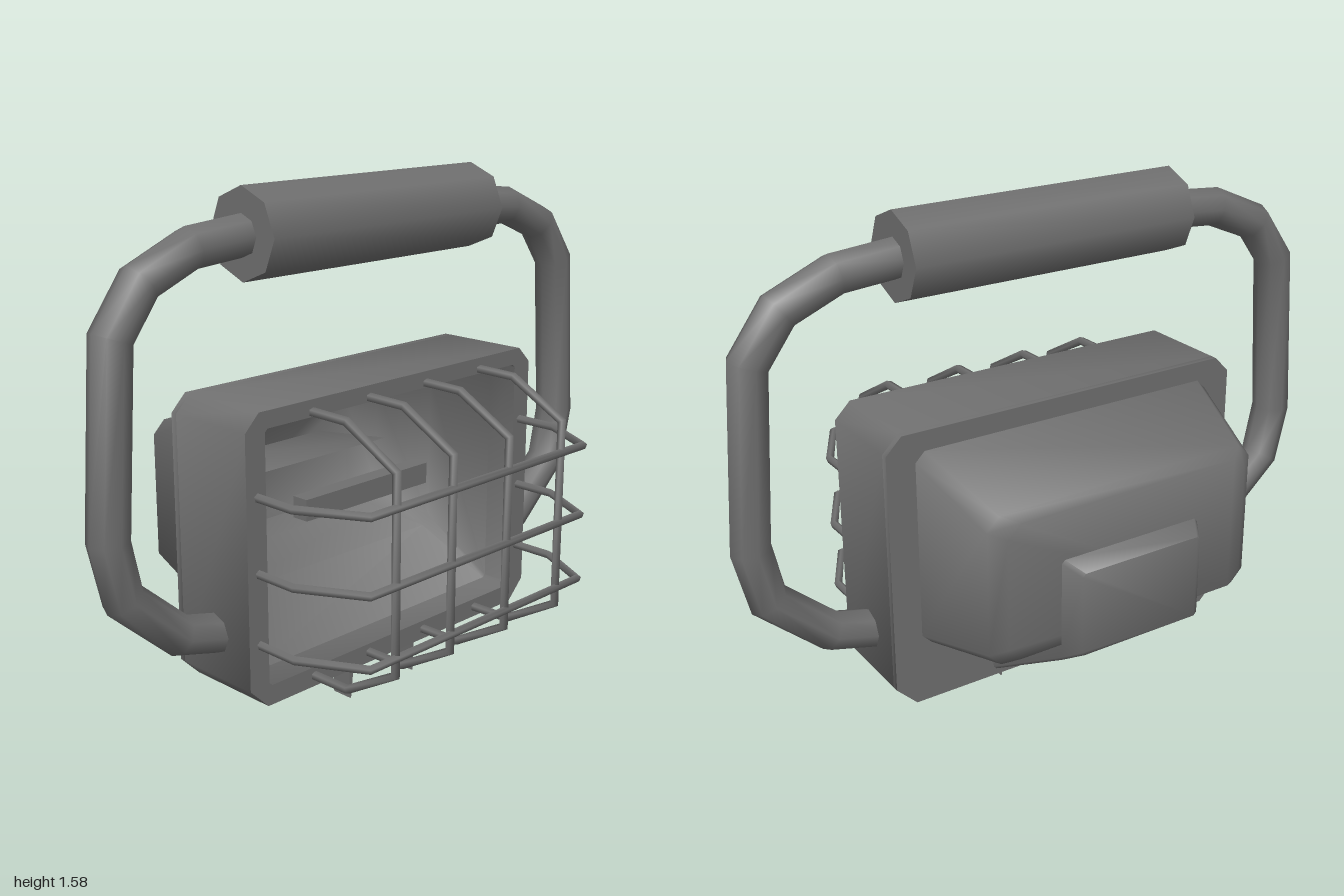
import * as THREE from 'three';
import { toCreasedNormals } from 'three/addons/utils/BufferGeometryUtils.js';

const grey = new THREE.MeshStandardMaterial({ color: 0x707070 });
const greyDouble = new THREE.MeshStandardMaterial({ color: 0x707070, side: THREE.DoubleSide });

function add(parent, name, geometry, material = grey) {
  const mesh = new THREE.Mesh(geometry, material);
  mesh.name = name;
  parent.add(mesh);
  return mesh;
}

// Rectangle with cut corners, counter-clockwise
function cutRect(hw, y0, y1, c, top = c) {
  return [
    [-hw + c, y0], [hw - c, y0], [hw, y0 + c], [hw, y1 - top],
    [hw - top, y1], [-hw + top, y1], [-hw, y1 - top], [-hw, y0 + c],
  ].map(([x, y]) => new THREE.Vector2(x, y));
}

// Skin over sections [halfWidth, y0, y1, corner, z], front to back, closed at the back
function loft(sections, crease) {
  const pos = [];
  const rings = sections.map(([hw, y0, y1, c, z]) =>
    cutRect(hw, y0, y1, c).map((p) => new THREE.Vector3(p.x, p.y, z)));
  const tri = (...v) => v.forEach((p) => pos.push(p.x, p.y, p.z));
  for (let r = 0; r < rings.length - 1; r++) {
    const a = rings[r], b = rings[r + 1];
    for (let i = 0; i < 8; i++) {
      const j = (i + 1) % 8;
      tri(a[i], b[i], b[j]);
      tri(a[i], b[j], a[j]);
    }
  }
  const last = rings[rings.length - 1];
  for (let i = 1; i < 7; i++) tri(last[0], last[i + 1], last[i]);
  const g = new THREE.BufferGeometry();
  g.setAttribute('position', new THREE.Float32BufferAttribute(pos, 3));
  return toCreasedNormals(g, crease);
}

// Path with one tube section at each bend
class BentPath extends THREE.Curve {
  constructor(points) {
    super();
    this.points = points.map((p) => new THREE.Vector3(...p));
  }
  getPointAt(t) {
    return this.points[Math.round(t * (this.points.length - 1))].clone();
  }
  getTangentAt(t) {
    const p = this.points, n = p.length - 1, i = Math.round(t * n);
    const d = new THREE.Vector3();
    if (i > 0) d.add(p[i].clone().sub(p[i - 1]).normalize());
    if (i < n) d.add(p[i + 1].clone().sub(p[i]).normalize());
    return d.normalize();
  }
}

function bentTube(points, radius, sides) {
  return new THREE.TubeGeometry(new BentPath(points), points.length - 1, radius, sides);
}

// Flat ring between two outlines, from z0 to z1, with soft cut corners
function ring(outer, inner, z0, z1) {
  const shape = new THREE.Shape(outer);
  shape.holes.push(new THREE.Path(inner));
  const g = new THREE.ExtrudeGeometry(shape, { depth: z1 - z0, bevelEnabled: false });
  return toCreasedNormals(g.translate(0, 0, z0), 0.9);
}

export function createModel() {
  const model = new THREE.Group();
  model.name = 'workLamp';

  // Front frame and its back plate
  const outline = cutRect(0.6, 0.14, 1.0, 0.065, 0.05);
  add(model, 'frame', ring(outline, cutRect(0.53, 0.2, 0.95, 0.01), -0.12, 0.17));
  add(model, 'backPlate', ring(outline, cutRect(0.48, 0.35, 0.92, 0.03), -0.14, -0.12));

  // Tapered rear shell
  add(model, 'rearShell', loft([
    [0.51, 0.33, 0.94, 0.03, -0.14],
    [0.455, 0.38, 0.84, 0.04, -0.42],
    [0.41, 0.4, 0.82, 0.04, -0.455],
  ], 1.1));

  // Hollow reflector seen through the front
  add(model, 'reflector', loft([
    [0.53, 0.2, 0.95, 0.01, 0.07],
    [0.46, 0.36, 0.9, 0.03, -0.125],
    [0.42, 0.4, 0.84, 0.04, -0.33],
    [0.36, 0.42, 0.8, 0.04, -0.42],
  ], 1.2), greyDouble);

  // Lamp bar reaching in from the left wall
  add(model, 'lampBar', new THREE.BoxGeometry(0.55, 0.07, 0.06)).position.set(0.165, 0.545, -0.15);

  // Wiring box sloping down to the frame
  add(model, 'wiringBox', loft([
    [0.27, 0.16, 0.7, 0.01, -0.14],
    [0.24, 0.345, 0.67, 0.01, -0.45],
    [0.205, 0.38, 0.64, 0.01, -0.51],
  ], 1.1));

  // Wire guard
  const guard = new THREE.Group();
  guard.name = 'guard';
  model.add(guard);
  for (const x of [-0.355, -0.13, 0.11, 0.355]) {
    add(guard, 'uprightBar', bentTube([
      [x, 0.964, 0.16], [x, 0.962, 0.305], [x, 0.86, 0.49],
      [x, 0.28, 0.49], [x, 0.175, 0.305], [x, 0.173, 0.16],
    ], 0.014, 5));
  }
  for (const y of [0.765, 0.545, 0.335]) {
    add(guard, 'crossBar', bentTube([
      [-0.56, y, 0.16], [-0.56, y, 0.31], [-0.46, y, 0.495],
      [0.46, y, 0.495], [0.56, y, 0.31], [0.56, y, 0.16],
    ], 0.013, 5));
  }

  // Carrying handle, mirrored arms and grip
  const arm = [
    [0.55, 0.325], [0.725, 0.37], [0.905, 0.53], [0.943, 0.7],
    [0.905, 1.23], [0.81, 1.36], [0.645, 1.43], [0.4, 1.45],
  ];
  for (const s of [1, -1]) {
    add(model, s > 0 ? 'leftHandleArm' : 'rightHandleArm',
      bentTube(arm.map(([x, y]) => [s * x, y, 0.02]), 0.06, 8));
  }
  const grip = add(model, 'grip', new THREE.CylinderGeometry(0.13, 0.13, 0.935, 8));
  grip.rotation.z = Math.PI / 2;
  grip.position.set(0, 1.448, 0.022);

  // Foot bracket with two pointed legs
  const foot = new THREE.Group();
  foot.name = 'footBracket';
  model.add(foot);
  add(foot, 'footPlate', new THREE.BoxGeometry(0.28, 0.02, 0.07)).position.set(0, 0.13, 0.065);
  for (const s of [1, -1]) {
    const leg = new THREE.Shape([[0.147, 0.14], [0.122, 0.14], [0.137, 0], [0.141, 0]]
      .map(([x, y]) => new THREE.Vector2(s * x, y)));
    add(foot, 'footLeg', new THREE.ExtrudeGeometry(leg, { depth: 0.07, bevelEnabled: false }).translate(0, 0, 0.03));
  }
  return model;
}
